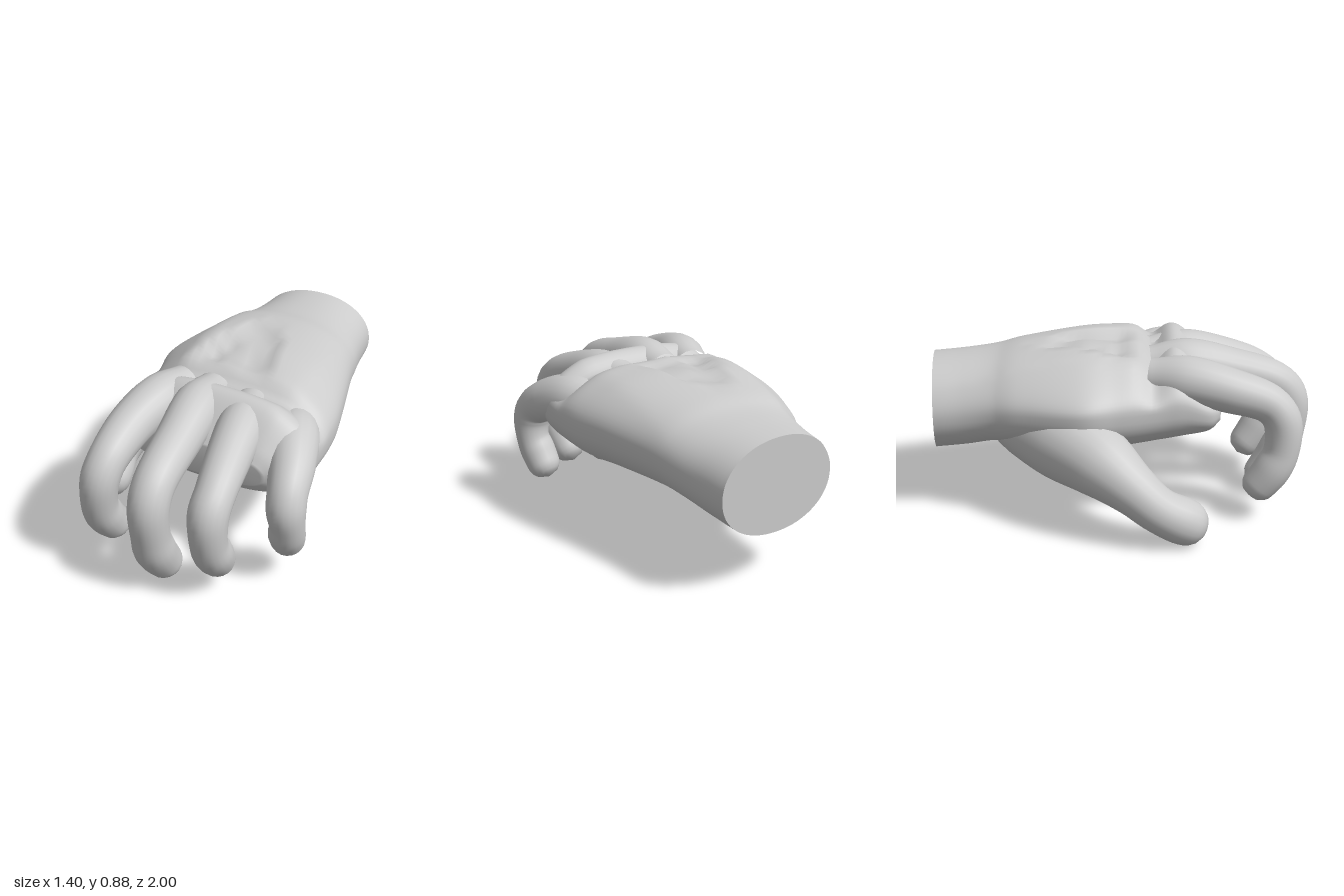
import * as THREE from 'three';
import { mergeVertices } from 'three/addons/utils/BufferGeometryUtils.js';

const skin = new THREE.MeshStandardMaterial({ color: 0xcccccc });

function addMesh(group, name, geometry) {
  const mesh = new THREE.Mesh(geometry, skin);
  mesh.name = name;
  group.add(mesh);
}

// Skin over a list of rings, each an equally long closed loop of points
function loft(rings) {
  const n = rings[0].length;
  const index = [];
  for (let i = 0; i < rings.length - 1; i++) {
    for (let j = 0; j < n; j++) {
      const k = (j + 1) % n;
      const a = i * n + j, b = i * n + k, c = a + n, d = b + n;
      index.push(a, b, c, b, d, c);
    }
  }
  const geometry = new THREE.BufferGeometry().setFromPoints(rings.flat());
  geometry.setIndex(index);
  const merged = mergeVertices(geometry);
  merged.computeVertexNormals();
  return merged;
}

// Tube through [x, y, z, radius] stations, rounded off at the far end
function digit(stations, segments = 56, sides = 20) {
  const curve = new THREE.CatmullRomCurve3(stations.map(([x, y, z]) => new THREE.Vector3(x, y, z)));
  const radii = new THREE.SplineCurve(stations.map((s, i) => new THREE.Vector2(i, s[3])));
  const tube = new THREE.TubeGeometry(curve, segments, 1, sides);
  const pos = tube.attributes.position;
  const tip = stations.at(-1)[3] * 0.9 / curve.getLength();
  const v = new THREE.Vector3();
  for (let i = 0; i <= segments; i++) {
    const u = i / segments;
    const centre = curve.getPointAt(u);
    const end = Math.max(0, (u - 1 + tip) / tip);
    const r = radii.getPoint(curve.getUtoTmapping(u)).y * Math.sqrt(Math.max(0, 1 - end * end));
    for (let j = 0; j <= sides; j++) {
      const k = i * (sides + 1) + j;
      v.fromBufferAttribute(pos, k).sub(centre).multiplyScalar(r).add(centre);
      pos.setXYZ(k, v.x, v.y, v.z);
    }
  }
  tube.deleteAttribute('uv');
  tube.deleteAttribute('normal');
  const merged = mergeVertices(tube);
  merged.computeVertexNormals();
  return merged;
}

// Hollows on the back of the hand: a groove behind the knuckles and a triangular dip
function hollow(x, z) {
  const groove = 0.06 * Math.exp(-(((z - 0.17) / 0.06) ** 2));
  const t = (z + 0.5) / 0.62;
  if (t <= 0 || t >= 1) return groove;
  const across = Math.abs(x - 0.03) / (0.24 * t + 0.02);
  const dip = 0.05 * THREE.MathUtils.smoothstep(1 - across, 0, 0.35) * Math.min(1, t * 3, (1 - t) * 5);
  const wedge = 0.045 * Math.max(0, 1 - Math.abs(x - 0.03) / 0.08) * Math.min(1, t * 2, (1 - t) * 4);
  return groove + dip - wedge;
}

// Wrist and palm cross-sections: z, right edge, left edge, underside, back of hand
const sections = [
  [-0.97, -0.28, 0.36, 0.31, 0.79],
  [-0.80, -0.29, 0.39, 0.33, 0.80],
  [-0.65, -0.32, 0.43, 0.36, 0.815],
  [-0.50, -0.38, 0.47, 0.37, 0.85],
  [-0.20, -0.47, 0.56, 0.365, 0.885],
  [0.00, -0.43, 0.61, 0.36, 0.88],
  [0.20, -0.38, 0.63, 0.38, 0.87],
  [0.32, -0.36, 0.63, 0.40, 0.86],
  [0.45, -0.33, 0.57, 0.44, 0.74],
  [0.51, -0.28, 0.45, 0.50, 0.67],
];

function palmRings(count = 64, sides = 64) {
  const spline = (a, b) => new THREE.CatmullRomCurve3(
    sections.map((s) => new THREE.Vector3(s[a], s[b], s[0])), false, 'catmullrom');
  const widths = spline(1, 2), heights = spline(3, 4);
  const rings = [];
  for (let i = 0; i <= count; i++) {
    const w = widths.getPoint(i / count), h = heights.getPoint(i / count);
    const z = w.z;
    const power = 2 / THREE.MathUtils.mapLinear(z, -1, 0.5, 2.1, 2.7);
    const rounded = (s) => Math.sign(s) * Math.abs(s) ** power;
    const slant = 0.09 * THREE.MathUtils.clamp((-0.6 - z) / 0.37, 0, 1);
    const ring = [];
    for (let j = 0; j < sides; j++) {
      const angle = (j / sides) * Math.PI * 2;
      const up = rounded(Math.sin(angle));
      const x = (w.x + w.y) / 2 + rounded(Math.cos(angle)) * (w.y - w.x) / 2;
      let y = (h.x + h.y) / 2 + up * (h.y - h.x) / 2;
      if (up > 0) {
        // The back slopes down toward the thumb and the little finger
        y -= up * (hollow(x, z) + 0.5 * Math.max(0, -0.22 - x) + 0.25 * Math.max(0, x - 0.42));
      }
      ring.push(new THREE.Vector3(x, y, z - slant * (x - 0.04)));
    }
    rings.push(ring);
  }
  return rings;
}

// Flat point ring used to close an end
function centreRing(ring) {
  const c = ring.reduce((sum, p) => sum.add(p), new THREE.Vector3()).divideScalar(ring.length);
  return ring.map(() => c.clone());
}

// Stations run from knuckle to fingertip: x, y, z, radius
const digits = {
  indexFinger: [
    [-0.17, 0.74, 0.16, 0.10], [-0.21, 0.74, 0.34, 0.125], [-0.245, 0.70, 0.55, 0.115], [-0.25, 0.625, 0.76, 0.10],
    [-0.26, 0.54, 0.825, 0.098], [-0.275, 0.38, 0.825, 0.092], [-0.28, 0.28, 0.78, 0.098], [-0.27, 0.13, 0.67, 0.085],
  ],
  middleFinger: [
    [0.0, 0.75, 0.16, 0.10], [0.01, 0.76, 0.34, 0.125], [0.035, 0.715, 0.57, 0.115], [0.055, 0.63, 0.83, 0.105],
    [0.06, 0.54, 0.895, 0.103], [0.06, 0.36, 0.89, 0.097], [0.055, 0.24, 0.85, 0.105], [0.05, 0.04, 0.72, 0.09],
  ],
  ringFinger: [
    [0.22, 0.73, 0.16, 0.10], [0.26, 0.735, 0.34, 0.12], [0.30, 0.69, 0.55, 0.112], [0.335, 0.62, 0.74, 0.10],
    [0.34, 0.54, 0.82, 0.10], [0.34, 0.37, 0.82, 0.093], [0.335, 0.27, 0.77, 0.10], [0.31, 0.12, 0.66, 0.085],
  ],
  littleFinger: [
    [0.42, 0.66, 0.05, 0.10], [0.49, 0.665, 0.24, 0.13], [0.56, 0.62, 0.40, 0.115], [0.595, 0.55, 0.51, 0.10],
    [0.605, 0.48, 0.54, 0.098], [0.61, 0.38, 0.53, 0.088], [0.595, 0.30, 0.50, 0.093], [0.57, 0.17, 0.42, 0.082],
  ],
  thumb: [
    [0.02, 0.54, -0.70, 0.12], [-0.10, 0.48, -0.48, 0.19], [-0.27, 0.44, -0.27, 0.215], [-0.45, 0.38, -0.08, 0.175],
    [-0.55, 0.29, 0.07, 0.13], [-0.585, 0.20, 0.19, 0.115], [-0.565, 0.13, 0.31, 0.12], [-0.53, 0.075, 0.43, 0.10],
  ],
};

export function createModel() {
  const hand = new THREE.Group();
  hand.name = 'hand';
  const rings = palmRings();
  addMesh(hand, 'palm', loft([...rings, centreRing(rings.at(-1))]));
  addMesh(hand, 'wristEnd', loft([centreRing(rings[0]), rings[0]]));
  for (const [name, stations] of Object.entries(digits)) addMesh(hand, name, digit(stations));
  return hand;
}
